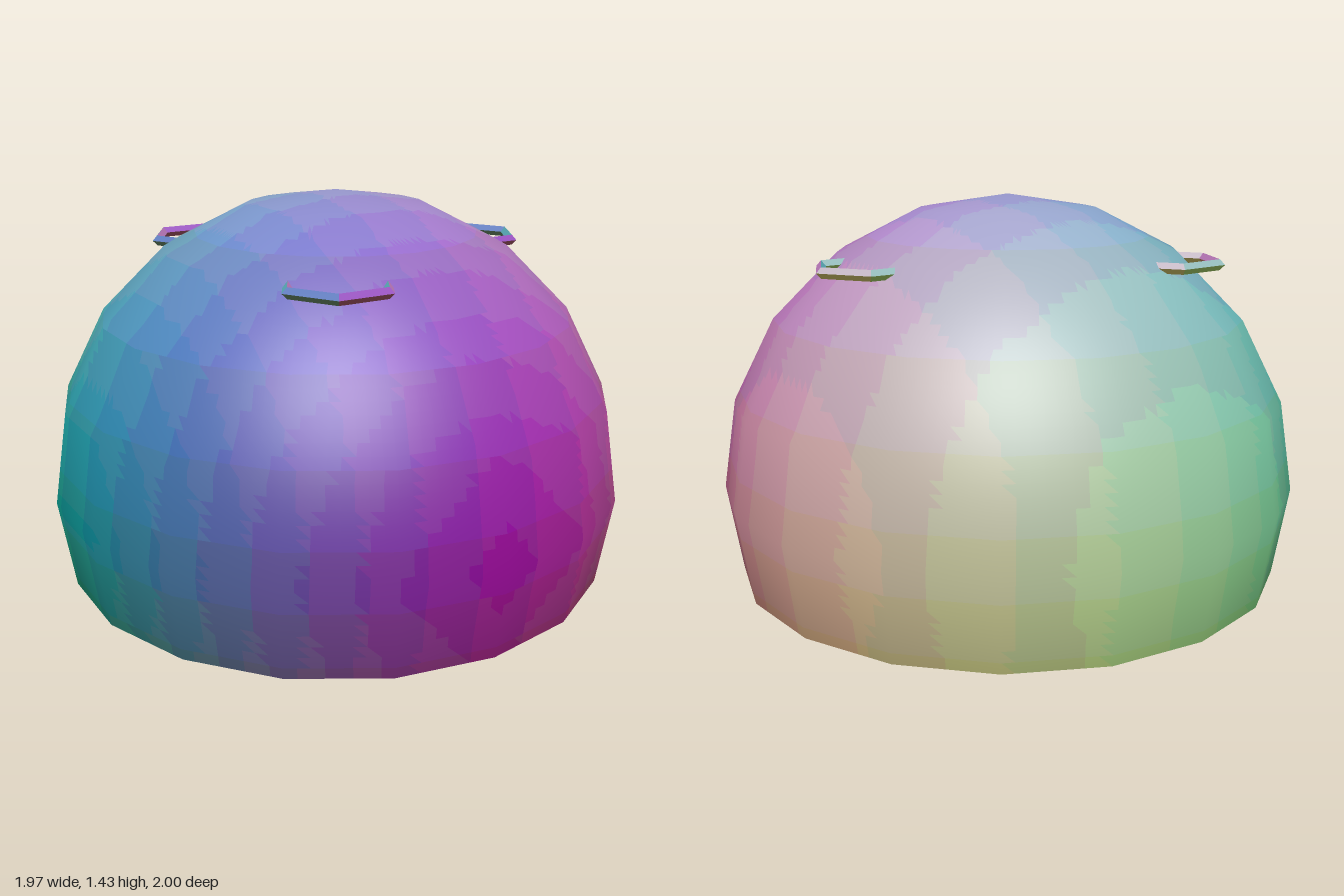
import * as THREE from 'three';

const LEVELS = 14;

// Shade steps of a part: each direction a surface faces has its own colour
// (red to +x, green to -z, blue to +y), muted by the base grey.
function paint(name, geometry, depth = 0, side = THREE.FrontSide) {
  const source = geometry.index ? geometry.toNonIndexed() : geometry;
  const { position, normal } = source.attributes;
  const buckets = new Map();

  const mid = (a, b) => ({
    p: a.p.clone().lerp(b.p, 0.5),
    n: a.n.clone().lerp(b.n, 0.5),
  });
  const split = (a, b, c, level) => {
    if (level > 0) {
      const ab = mid(a, b), bc = mid(b, c), ca = mid(c, a);
      split(a, ab, ca, level - 1);
      split(ab, b, bc, level - 1);
      split(ca, bc, c, level - 1);
      split(ab, bc, ca, level - 1);
      return;
    }
    const n = a.n.clone().add(b.n).add(c.n).divideScalar(3);
    const steps = [n.x, -n.z, n.y].map((v) =>
      Math.round(Math.sqrt(Math.max(0, 0.5 + 0.5 * v)) * LEVELS));
    const key = steps.join();
    if (!buckets.has(key)) buckets.set(key, { steps, points: [], normals: [] });
    const bucket = buckets.get(key);
    for (const v of [a, b, c]) {
      bucket.points.push(...v.p.toArray());
      bucket.normals.push(...v.n.clone().normalize().toArray());
    }
  };

  const corner = (i) => ({
    p: new THREE.Vector3().fromBufferAttribute(position, i),
    n: new THREE.Vector3().fromBufferAttribute(normal, i),
  });
  for (let i = 0; i < position.count; i += 3) {
    split(corner(i), corner(i + 1), corner(i + 2), depth);
  }

  const part = new THREE.Group();
  part.name = name;
  for (const { steps, points, normals } of buckets.values()) {
    const patch = new THREE.BufferGeometry();
    patch.setAttribute('position', new THREE.Float32BufferAttribute(points, 3));
    patch.setAttribute('normal', new THREE.Float32BufferAttribute(normals, 3));
    const [r, g, b] = steps.map((s) => 0.604 * (s / LEVELS) ** 2);
    const material = new THREE.MeshStandardMaterial({ color: new THREE.Color(r, g, b), side });
    const mesh = new THREE.Mesh(patch, material);
    mesh.name = name + 'Patch';
    part.add(mesh);
  }
  return part;
}

// Flat-faced copy of a geometry
function faceted(geometry) {
  const flat = geometry.toNonIndexed();
  flat.computeVertexNormals();
  return flat;
}

const hexLathe = (points) =>
  new THREE.LatheGeometry(points.map(([x, y]) => new THREE.Vector2(x, y)), 6);

// Ring of six-sided loops spaced evenly around the vertical axis
function loopRing(name, count, distance, height, radius, tube) {
  const ring = new THREE.Group();
  ring.name = name + 's';
  for (let i = 0; i < count; i++) {
    const loop = new THREE.TorusGeometry(radius, tube, 4, 6);
    loop.rotateX(Math.PI / 2);
    loop.translate(distance, height, 0);
    loop.rotateY((i / count) * Math.PI * 2);
    ring.add(paint(name, faceted(loop)));
  }
  return ring;
}

export function createModel() {
  const model = new THREE.Group();
  model.name = 'domeModel';

  // Open dome, cut just below its equator
  const dome = new THREE.SphereGeometry(1, 18, 6, 0, Math.PI * 2, 0, Math.PI * 0.6);
  dome.rotateY(Math.PI / 2);
  dome.translate(0, 0.432, 0);
  model.add(paint('dome', dome, 3, THREE.DoubleSide));

  // Hexagonal base: softly shaded sides between chamfered flat ends
  const base = new THREE.Group();
  base.name = 'base';
  base.add(
    paint('baseSides', hexLathe([[0.615, 0.025], [0.615, 0.275]]), 4),
    paint('baseBottom', faceted(hexLathe([[0, 0], [0.595, 0], [0.615, 0.025]]))),
    paint('baseTop', faceted(hexLathe([[0.615, 0.275], [0.595, 0.3], [0, 0.3]])))
  );
  model.add(base);

  // Three loops on the dome, six larger ones around the base
  model.add(loopRing('domeHandle', 3, 0.565, 1.222, 0.172, 0.018));
  model.add(loopRing('baseHandle', 6, 0.4, 0.18, 0.265, 0.038));

  return model;
}
